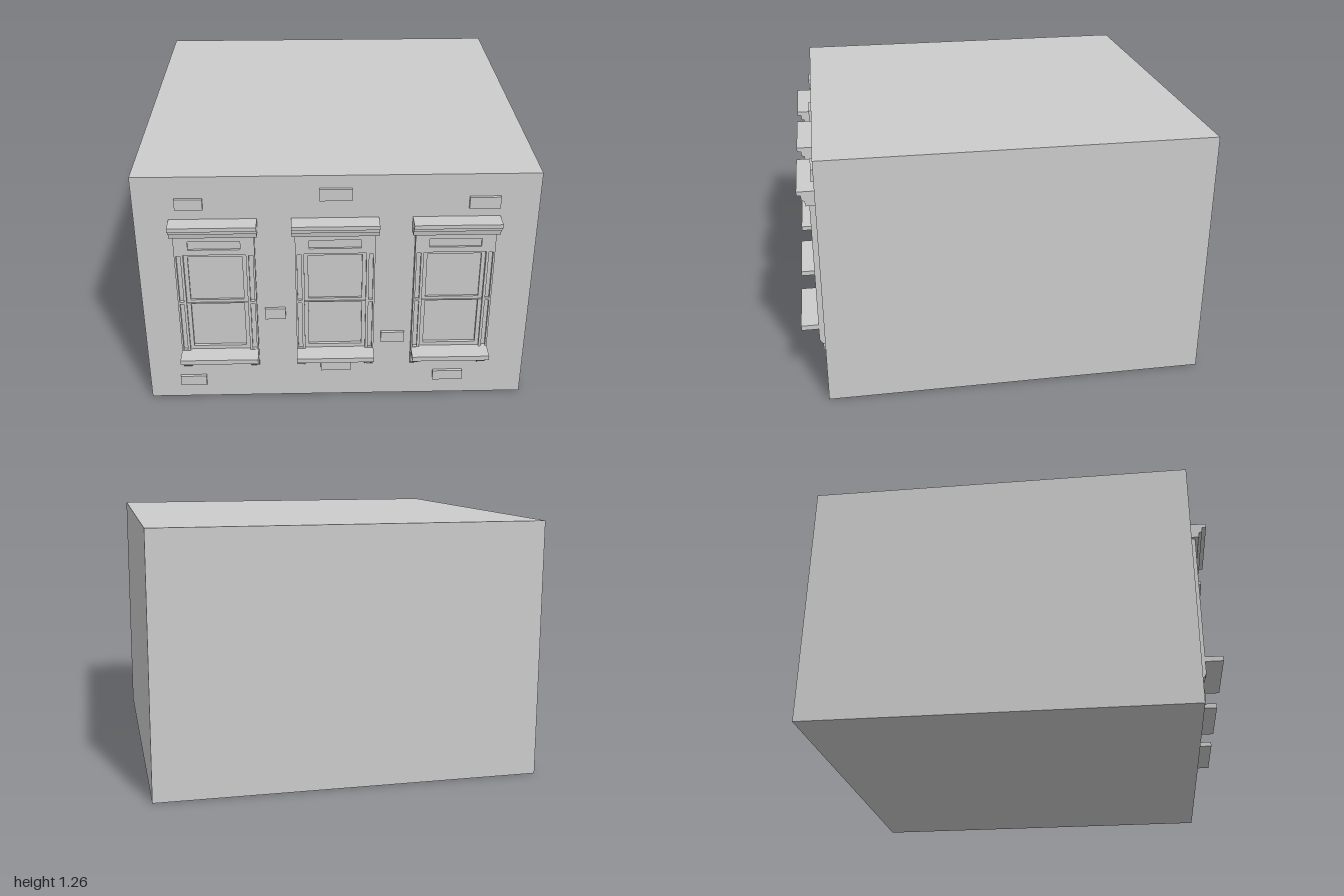
import * as THREE from 'three';

const material = new THREE.MeshStandardMaterial({ color: 0xcccccc, flatShading: true });
const WALL = 0.885; // z of the facade

function mesh(name, geometry) {
  const m = new THREE.Mesh(geometry, material);
  m.name = name;
  return m;
}

// Box given by its lower and upper limits on each axis
function box(name, x0, x1, y0, y1, z0, z1) {
  const g = new THREE.BoxGeometry(x1 - x0, y1 - y0, z1 - z0);
  g.translate((x0 + x1) / 2, (y0 + y1) / 2, (z0 + z1) / 2);
  return mesh(name, g);
}

function rectHole(x0, x1, y0, y1) {
  return new THREE.Path([[x0, y0], [x1, y0], [x1, y1], [x0, y1]].map(p => new THREE.Vector2(...p)));
}

// Flat plate with rectangular holes, standing off the wall between z0 and z1
function plate(name, outline, holes, z0, z1) {
  const shape = new THREE.Shape(outline.map(p => new THREE.Vector2(...p)));
  shape.holes = holes.map(h => rectHole(...h));
  const g = new THREE.ExtrudeGeometry(shape, { depth: z1 - z0, bevelEnabled: false });
  g.translate(0, 0, z0);
  return mesh(name, g);
}

// Profile of [z, y] points swept along x, centred on x
function sweepX(name, profile, width, x) {
  const shape = new THREE.Shape(profile.map(([z, y]) => new THREE.Vector2(-z, y)));
  const g = new THREE.ExtrudeGeometry(shape, { depth: width, bevelEnabled: false });
  g.translate(0, 0, -width / 2).rotateY(Math.PI / 2).translate(x, 0, 0);
  return mesh(name, g);
}

function createWindow() {
  const win = new THREE.Group();
  win.name = 'window';
  const w = 0.19, inner = 0.148;

  // Casing: pilasters, frieze and apron, cut by the opening and the grooves
  const grooves = [-1, 1].flatMap(s => [[0.312, 0.585], [0.597, 0.858]].map(
    ([a, b]) => [s * 0.171 - 0.010, s * 0.171 + 0.010, a, b]));
  win.add(plate('casing', [
    [-w, 0.225], [-inner, 0.225], [-inner, 0.245], [-0.138, 0.256], [0.138, 0.256],
    [inner, 0.245], [inner, 0.225], [w, 0.225], [w, 0.965], [-w, 0.965],
  ], [[-inner, inner, 0.305, 0.862], [-0.123, 0.123, 0.89, 0.935], ...grooves], WALL, 0.915));
  win.add(box('friezePanel', -0.123, 0.123, 0.89, 0.935, WALL, 0.905));

  // Sloped feet under the pilasters
  for (const s of [-1, 1]) {
    win.add(sweepX('foot', [[WALL, 0.2], [0.898, 0.2], [0.91, 0.212], [0.915, 0.225], [WALL, 0.225]],
      w - inner, s * (w + inner) / 2));
    for (const [a, b] of [[0.312, 0.585], [0.597, 0.858]])
      win.add(box('grooveBack', s * 0.171 - 0.010, s * 0.171 + 0.010, a, b, WALL, 0.9));
  }

  // Upper sash sits behind the lower sash
  const sash = (name, y0, y1, g0, g1, z) => plate(name,
    [[-inner, y0], [inner, y0], [inner, y1], [-inner, y1]], [[-0.129, 0.129, g0, g1]], WALL, z);
  win.add(sash('upperSash', 0.585, 0.862, 0.6, 0.843, 0.898));
  win.add(sash('lowerSash', 0.305, 0.585, 0.33, 0.58, 0.903));
  win.add(box('glass', -0.129, 0.129, 0.33, 0.843, WALL - 0.005, WALL + 0.003));

  // Projecting sill
  win.add(box('sill', -w, w, 0.285, 0.31, WALL, 1.0));

  // Stepped cornice
  win.add(sweepX('cornice', [
    [WALL, 0.965], [0.932, 0.965], [0.936, 0.99], [0.95, 0.995],
    [0.952, 1.018], [0.972, 1.02], [0.972, 1.04], [WALL, 1.04],
  ], 0.41, 0));
  return win;
}

export function createModel() {
  const model = new THREE.Group();
  model.name = 'building';
  model.add(box('walls', -0.945, 0.945, 0, 1.26, -1, WALL));

  for (const x of [-0.578, -0.008, 0.56]) {
    const win = createWindow();
    win.position.x = x;
    model.add(win);
  }

  // Raised bricks scattered on the facade: x0, x1, y0, y1
  const bricks = [
    [-0.75, -0.62, 1.095, 1.15], [-0.08, 0.07, 1.135, 1.195], [0.615, 0.76, 1.085, 1.145],
    [-0.35, -0.25, 0.48, 0.54], [0.22, 0.335, 0.33, 0.39], [-0.08, 0.07, 0.16, 0.22],
    [-0.79, -0.66, 0.08, 0.135], [0.49, 0.64, 0.09, 0.145],
  ];
  for (const b of bricks) model.add(box('brick', ...b, WALL, 0.9));
  return model;
}
